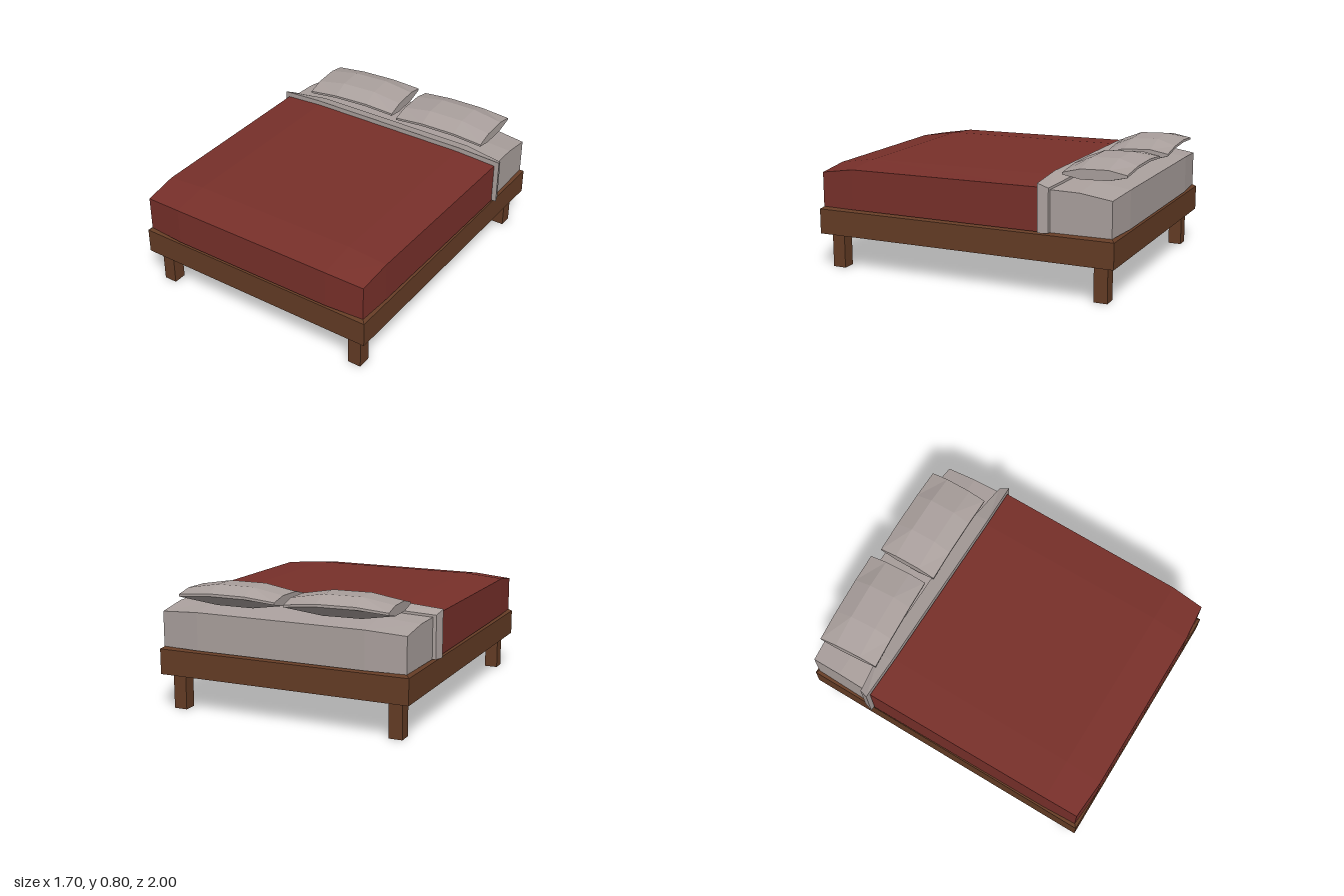
import * as THREE from 'three';

const mat = (color) => new THREE.MeshStandardMaterial({ color, flatShading: true });

// Eight-point cross-section: outer corners at x = ±w, inner points at x = ±m.
// bo/bi: bottom heights (outer, inner); to/ti: top heights; zo/zi: depth of outer and inner points.
function section({ w, m, bo, bi, to, ti, zo, zi }) {
  return [
    [-w, bo, zo], [-m, bi, zi], [m, bi, zi], [w, bo, zo],
    [w, to, zo], [m, ti, zi], [-m, ti, zi], [-w, to, zo],
  ];
}

// Joins the cross-sections from -z to +z and closes both ends.
function loft(specs) {
  const rings = specs.map(section);
  const n = 8, index = [];
  const quad = (a, b, c, d) => index.push(a, b, c, a, c, d);
  for (let i = 0; i < rings.length - 1; i++) {
    for (let j = 0; j < n; j++) {
      const k = (j + 1) % n, p = i * n, q = p + n;
      quad(p + j, p + k, q + k, q + j);
    }
  }
  const last = (rings.length - 1) * n;
  for (let j = 0; j < 3; j++) {
    quad(last + j, last + j + 1, last + 6 - j, last + 7 - j);
    quad(7 - j, 6 - j, j + 1, j);
  }
  const geo = new THREE.BufferGeometry();
  geo.setAttribute('position', new THREE.Float32BufferAttribute(rings.flat(2), 3));
  geo.setIndex(index);
  const flat = geo.toNonIndexed();
  flat.computeVertexNormals();
  return flat;
}

// Bedding cross-section standing on the frame
const cloth = (zo, zi, w, to, ti, m = 0.55) => ({ w, m, bo: 0.4, bi: 0.4, to, ti, zo, zi });

export function createModel() {
  const bed = new THREE.Group();
  bed.name = 'bed';
  const wood = mat(0x643c25);
  const linen = mat(0xaaa09d);
  const red = mat(0x78302a);

  const add = (name, geo, material, x = 0, y = 0, z = 0) => {
    const mesh = new THREE.Mesh(geo, material);
    mesh.name = name;
    mesh.position.set(x, y, z);
    bed.add(mesh);
    return mesh;
  };

  // Frame with a narrow bevel around its top
  add('frame', new THREE.BoxGeometry(1.64, 0.16, 1.97), wood, 0, 0.305, 0.015);
  const bevel = new THREE.BoxGeometry(1.64, 0.017, 1.97);
  const p = bevel.attributes.position;
  for (let i = 0; i < p.count; i++) {
    if (p.getY(i) > 0) {
      p.setX(i, p.getX(i) - Math.sign(p.getX(i)) * 0.025);
      p.setZ(i, p.getZ(i) - Math.sign(p.getZ(i)) * 0.025);
    }
  }
  bevel.computeVertexNormals();
  add('frameBevel', bevel, wood, 0, 0.3935, 0.015);

  // Legs
  for (const x of [-0.72, 0.72]) {
    for (const z of [-0.872, 0.905]) {
      add('leg', new THREE.BoxGeometry(0.086, 0.226, 0.086), wood, x, 0.113, z);
    }
  }

  // Mattress, sloping down at its head end
  add('mattress', loft([
    cloth(-0.95, -0.97, 0.80, 0.62, 0.637),
    cloth(-0.75, -0.75, 0.805, 0.65, 0.668),
    cloth(-0.52, -0.52, 0.81, 0.655, 0.673),
  ]), linen);

  // Blanket, sloping down at the foot end
  add('blanket', loft([
    cloth(-0.505, -0.495, 0.82, 0.665, 0.687),
    cloth(0.76, 0.76, 0.81, 0.655, 0.676),
    cloth(0.98, 1.0, 0.80, 0.62, 0.638),
  ]), red);

  // Folded-back band of the sheet
  add('sheetFold', loft([
    cloth(-0.57, -0.6, 0.83, 0.667, 0.685, 0.57),
    cloth(-0.51, -0.5, 0.85, 0.695, 0.715, 0.57),
  ]), linen);

  // Pillows: lens-shaped ends with a fuller middle, lofted along their length
  const end = { w: 0.198, m: 0.085, bo: -0.012, bi: -0.035, to: 0.002, ti: 0.027 };
  const mid = { w: 0.198, m: 0.085, bo: 0.004, bi: -0.066, to: 0.02, ti: 0.062 };
  const pillow = loft([
    { ...end, zo: -0.32, zi: -0.32 },
    { ...mid, zo: -0.12, zi: -0.12 },
    { ...mid, zo: 0.12, zi: 0.12 },
    { ...end, zo: 0.32, zi: 0.32 },
  ]).rotateY(Math.PI / 2).rotateX(0.03);
  add('rightPillow', pillow, linen, -0.358, 0.735, -0.78).rotation.y = 0.07;
  add('leftPillow', pillow, linen, 0.345, 0.735, -0.78).rotation.y = 0.02;

  return bed;
}
